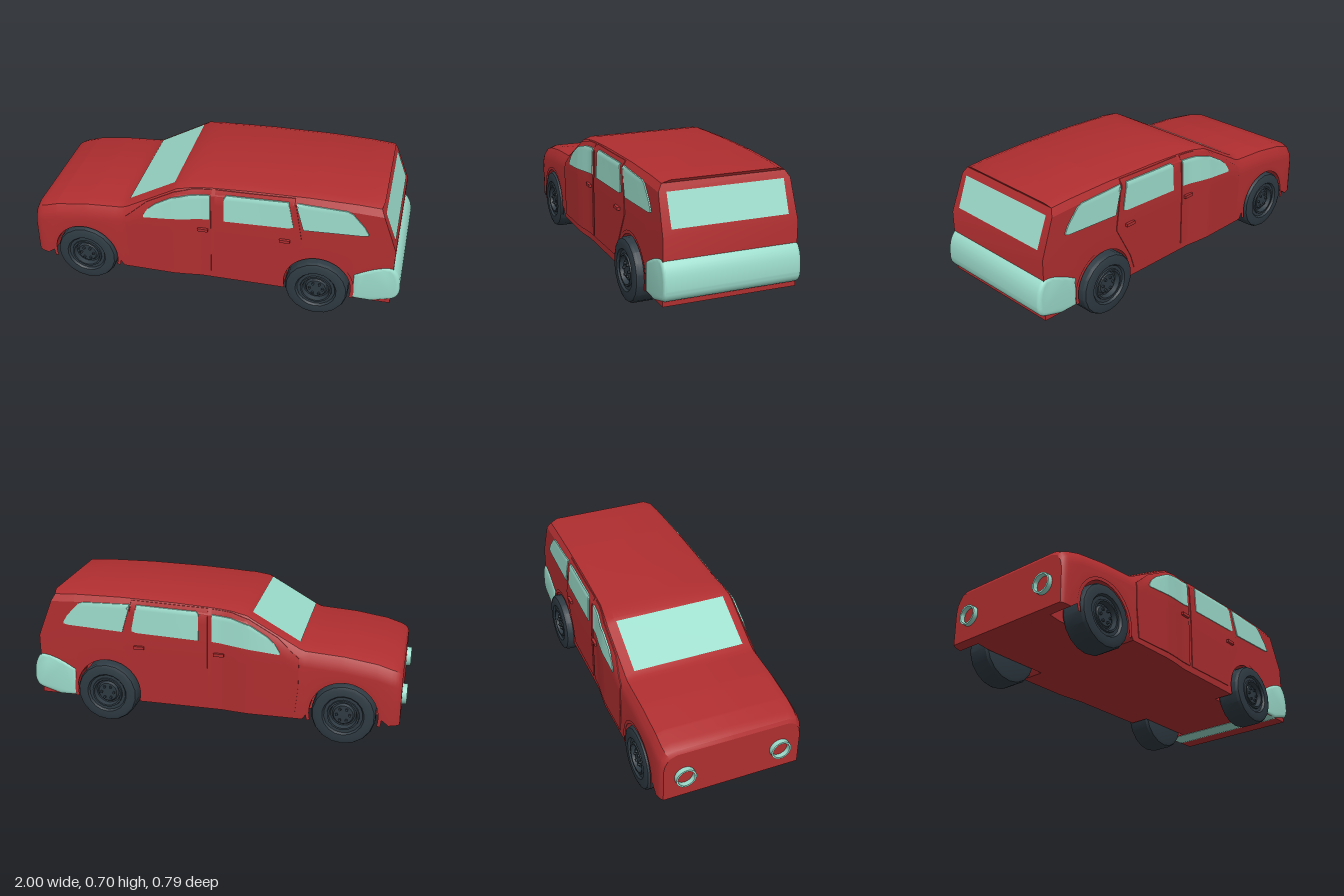
import * as THREE from 'three';
import { toCreasedNormals } from 'three/addons/utils/BufferGeometryUtils.js';

const mat = (name, color) => Object.assign(new THREE.MeshStandardMaterial({ color }), { name });

// Piecewise-linear lookup in a list of [key, value] pairs
function lerpList(list, x) {
  if (x <= list[0][0]) return list[0][1];
  for (let i = 1; i < list.length; i++) {
    const [x0, y0] = list[i - 1], [x1, y1] = list[i];
    if (x <= x1) return x1 === x0 ? y1 : y0 + (y1 - y0) * (x - x0) / (x1 - x0);
  }
  return list[list.length - 1][1];
}

// Body profiles along the length (nose at -x)
const TOP = [[-0.975, 0.4], [-0.965, 0.418], [-0.94, 0.432], [-0.85, 0.46], [-0.68, 0.486], [-0.48, 0.5], [-0.45, 0.512],
  [-0.18, 0.665], [-0.1, 0.68], [0.02, 0.689], [0.2, 0.698], [0.5, 0.705], [0.75, 0.702], [0.955, 0.695]];
const WIDTH = [[-0.975, 0.362], [-0.955, 0.373], [-0.92, 0.378], [-0.2, 0.378], [-0.13, 0.371], [-0.05, 0.36], [0.955, 0.346]];
const BOTTOM = [[-0.975, 0.132], [-0.85, 0.118], [0.955, 0.118]];
const BACK = [[0.45, 0.955], [0.645, 0.88], [0.68, 0.862], [0.695, 0.872]];
const AXLES = [-0.69, 0.572], AXLE_Y = 0.167, ARCH_R = 0.178;

// Half cross-section [z, y], from the floor centre up to the roof centre
function section(x) {
  const top = lerpList(TOP, x), w = lerpList(WIDTH, x), yb = lerpList(BOTTOM, x);
  let a = yb;
  for (const c of AXLES) {
    const d = ARCH_R ** 2 - (x - c) ** 2;
    if (d > 0) a = Math.max(a, AXLE_Y + Math.sqrt(d));
  }
  return [[0, yb], [0.245, yb], [0.245, a], [w, a], [w, Math.min(0.45, top - 0.09)],
    [w - 0.008, top - 0.05], [w - 0.03, top - 0.015], [w - 0.07, top], [0, top]];
}
const sideZ = (x, y) => lerpList(section(x).slice(3, 8).map(([z, h]) => [h, z]), y);

// Skin over rows of points
function skin(rows, crease = 0.5) {
  const n = rows[0].length, index = [];
  for (let i = 0; i < rows.length - 1; i++) for (let k = 0; k < n - 1; k++) {
    const a = i * n + k, b = a + n;
    index.push(a, b, b + 1, a, b + 1, a + 1);
  }
  const g = new THREE.BufferGeometry();
  g.setAttribute('position', new THREE.Float32BufferAttribute(rows.flat(2), 3));
  g.setIndex(index);
  return toCreasedNormals(g, crease);
}

export function createModel() {
  const car = new THREE.Group();
  car.name = 'car';
  const red = mat('red paint', 0xb02e30);
  const aqua = mat('pale aqua', 0x9cdccb);
  const dark = mat('dark slate', 0x2e3a42);
  const add = (name, geo, material, parent = car) => {
    const m = new THREE.Mesh(geo, material);
    m.name = name;
    parent.add(m);
    return m;
  };

  // Body shell: stations at profile knots plus fine steps over the wheel arches
  const stations = [...TOP, ...WIDTH, ...BOTTOM].map(p => p[0]);
  for (const c of AXLES) for (let i = 0; i <= 20; i++) stations.push(c - ARCH_R * Math.cos(Math.PI * i / 20));
  const xs = [...new Set(stations)].sort((a, b) => a - b);
  const rings = xs.map(x => {
    const half = section(x).map(([z, y]) => [Math.min(x, lerpList(BACK, y)), y, z]);
    return [...half, ...half.slice(0, -1).reverse().map(([px, y, z]) => [px, y, -z])];
  });
  add('bodyShell', skin(rings), red);
  const cap = ring => [ring.slice(0, 9), ring.slice(0, 9).map(([x, y, z]) => [x, y, -z])];
  add('noseFace', skin(cap(rings[0]).reverse()), red);
  add('tailFace', skin(cap(rings[rings.length - 1])), red);

  // Thin plate following the body side between a lower and an upper line
  function sidePlate(name, lower, upper, lift, material) {
    const x0 = lower[0][0], x1 = lower[lower.length - 1][0], cols = [];
    for (let i = 0; i <= 24; i++) cols.push(x0 + (x1 - x0) * i / 24);
    cols.push(...lower.map(p => p[0]), ...upper.map(p => p[0]));
    const sorted = [...new Set(cols)].sort((a, b) => a - b);
    const column = (x, off) => {
      const lo = lerpList(lower, x), hi = lerpList(upper, x), col = [];
      for (let k = -1; k <= 13; k++) {
        const y = lo + (hi - lo) * Math.min(12, Math.max(0, k)) / 12;
        col.push([x, y, sideZ(x, y) + (k < 0 || k > 12 ? 0 : off)]);
      }
      return col;
    };
    const rows = [column(x0, 0), ...sorted.map(x => column(x, lift)), column(x1, 0)];
    add(name + 'Left', skin(rows), material);
    add(name + 'Right', skin(rows.map(r => r.map(([x, y, z]) => [x, y, -z])).reverse()), material);
  }

  // Doors
  sidePlate('frontDoor', [[-0.455, 0.3], [-0.44, 0.145], [0.005, 0.155]],
    [[-0.455, 0.45], [-0.34, 0.55], [-0.19, 0.635], [-0.1, 0.66], [0.005, 0.668]], 0.004, red);
  sidePlate('rearDoor', [[0.025, 0.155], [0.36, 0.16], [0.385, 0.24], [0.48, 0.42]],
    [[0.025, 0.67], [0.435, 0.682], [0.48, 0.44]], 0.004, red);

  // Side glass
  sidePlate('frontDoorWindow', [[-0.355, 0.467], [0, 0.5]],
    [[-0.355, 0.48], [-0.33, 0.52], [-0.29, 0.555], [-0.2, 0.608], [-0.1, 0.635], [0, 0.643]], 0.008, aqua);
  sidePlate('rearDoorWindow', [[0.072, 0.5], [0.41, 0.512], [0.432, 0.52]],
    [[0.072, 0.64], [0.085, 0.653], [0.405, 0.662], [0.432, 0.53]], 0.008, aqua);
  sidePlate('quarterWindow', [[0.445, 0.645], [0.485, 0.51], [0.79, 0.524], [0.812, 0.53]],
    [[0.445, 0.662], [0.7, 0.655], [0.725, 0.645], [0.79, 0.575], [0.812, 0.537]], 0.006, aqua);

  // Windscreen and rear window
  add('windscreen', skin([-0.45, -0.2].map(x => [0.3, -0.3].map(z => [x, lerpList(TOP, x) + 0.004, z]))), aqua);
  add('rearWindow', skin([0.3, -0.3].map(z => [0.485, 0.645].map(y => [lerpList(BACK, y) + 0.004, y, z]))), aqua);

  // Rear bumper
  const outline = new THREE.Shape();
  outline.moveTo(0.775, 0.135);
  outline.lineTo(0.85, 0.133);
  outline.lineTo(0.955, 0.165);
  outline.quadraticCurveTo(0.978, 0.175, 0.978, 0.21);
  outline.quadraticCurveTo(0.978, 0.3, 0.94, 0.327);
  outline.quadraticCurveTo(0.88, 0.325, 0.775, 0.262);
  const bumper = new THREE.ExtrudeGeometry(outline, {
    depth: 0.67, bevelThickness: 0.02, bevelSize: 0.02, bevelSegments: 4, curveSegments: 8,
  });
  bumper.translate(0, 0, -0.335);
  add('rearBumper', toCreasedNormals(bumper, 0.6), aqua);

  // Headlight rings
  const lampProfile = [[0.044, 0], [0.053, 0], [0.053, 0.027], [0.044, 0.027], [0.044, 0]].map(p => new THREE.Vector2(...p));
  for (const s of [1, -1]) {
    const lamp = add('headlightRing', toCreasedNormals(new THREE.LatheGeometry(lampProfile, 28), 0.5), aqua);
    lamp.material.side = THREE.DoubleSide;
    lamp.rotation.z = Math.PI / 2;
    lamp.position.set(-0.973, 0.258, s * 0.253);
  }

  // Wheels: tyre, stepped rim and hub in one turned profile, plus bolts
  const wheelProfile = [[0, 0], [0.14, 0], [0.158, 0.006], [0.165, 0.02], [0.165, 0.122], [0.158, 0.137], [0.142, 0.143],
    [0.108, 0.143], [0.1, 0.132], [0.084, 0.132], [0.082, 0.14], [0.073, 0.14], [0.066, 0.115], [0.058, 0.115],
    [0.05, 0.128], [0, 0.128]].map(p => new THREE.Vector2(...p));
  const wheelGeo = toCreasedNormals(new THREE.LatheGeometry(wheelProfile, 18), 0.45);
  const boltGeo = new THREE.CylinderGeometry(0.007, 0.007, 0.012, 8);
  const lipGeo = new THREE.RingGeometry(ARCH_R - 0.002, 0.194, 32, 1, -0.26, Math.PI + 0.52);
  const handleGeo = new THREE.BoxGeometry(0.055, 0.016, 0.02);
  for (const s of [1, -1]) {
    for (const x of AXLES) {
      const wheel = new THREE.Group();
      wheel.name = x < 0 ? 'frontWheel' : 'rearWheel';
      wheel.position.set(x, 0.166, s * 0.25);
      wheel.rotation.x = s * Math.PI / 2;
      add('tyreAndRim', wheelGeo, dark, wheel);
      for (let i = 0; i < 6; i++) {
        const t = i * Math.PI / 3;
        add('wheelBolt', boltGeo, dark, wheel).position.set(0.034 * Math.cos(t), 0.132, 0.034 * Math.sin(t));
      }
      car.add(wheel);

      // Arch lip
      const lip = add('archLip', lipGeo, red);
      lip.position.set(x, AXLE_Y, s * (lerpList(WIDTH, x) + 0.004));
      if (s < 0) lip.rotation.y = Math.PI;
    }
    // Door handles
    for (const x of [-0.037, 0.393]) add('doorHandle', handleGeo, red).position.set(x, 0.432, s * (sideZ(x, 0.432) + 0.008));
  }
  return car;
}
